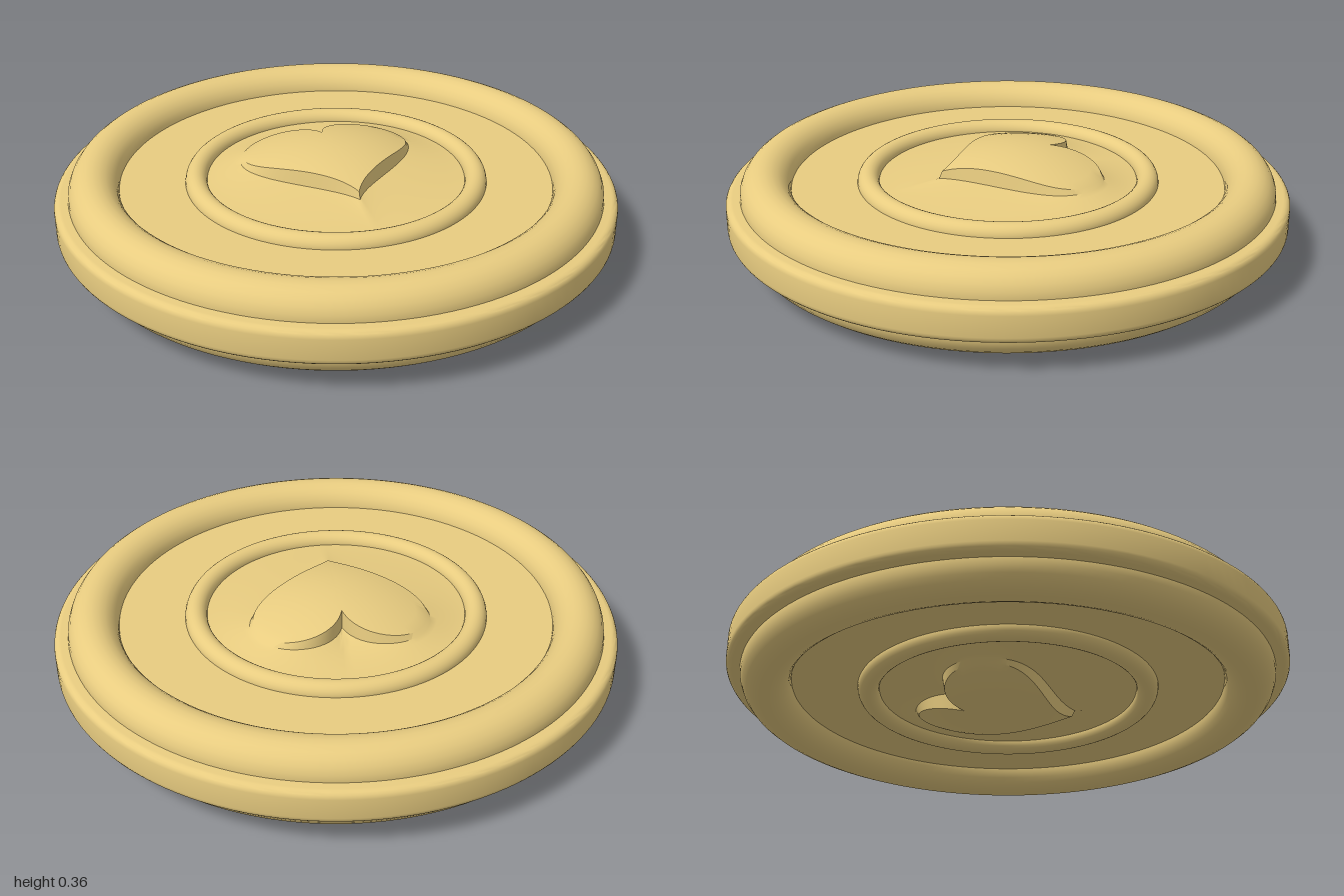
import * as THREE from 'three';
import { toCreasedNormals } from 'three/addons/utils/BufferGeometryUtils.js';

const MID = 0.178;    // half the total height; both faces mirror about it
const FLOOR = 0.072;  // recessed face above the middle plane
const gold = new THREE.MeshStandardMaterial({ color: 0xe8cc80 });

function mesh(name, geometry) {
  const m = new THREE.Mesh(geometry, gold);
  m.name = name;
  return m;
}

// Heart outline in (x, z), starting at the notch and running round by +x
function heartOutline() {
  const v = (x, z) => new THREE.Vector2(x, z);
  const path = new THREE.CurvePath();
  path.add(new THREE.CubicBezierCurve(v(0, -0.165), v(0.02, -0.24), v(0.08, -0.28), v(0.15, -0.28)));
  path.add(new THREE.CubicBezierCurve(v(0.15, -0.28), v(0.24, -0.28), v(0.305, -0.21), v(0.305, -0.12)));
  path.add(new THREE.CubicBezierCurve(v(0.305, -0.12), v(0.305, 0.02), v(0.06, 0.13), v(0, 0.25)));
  const half = path.getSpacedPoints(48);
  const mirrored = half.slice(1, -1).reverse().map(p => v(-p.x, p.y));
  return [...half, ...mirrored];
}

// Domed heart, steep wall and apron sloping down to the inner ring
function heartRelief() {
  const outline = heartOutline();
  const n = outline.length;
  const centre = new THREE.Vector2(0, -0.04);
  const crown = p => MID - 0.6 * p.distanceToSquared(centre);
  const rings = [];
  for (let k = 0; k <= 8; k++) {
    rings.push(outline.map(p => {
      const q = centre.clone().lerp(p, k / 8);
      return [q.x, crown(q), q.y];
    }));
  }
  const feet = outline.map(p => centre.clone().lerp(p, 1.04));
  for (let k = 0; k <= 6; k++) {
    const t = k / 6;
    rings.push(feet.map(p => {
      const edge = p.clone().sub(centre).setLength(0.48);
      const q = p.clone().lerp(edge, t);
      return [q.x, FLOOR + 0.03 * (1 - t) ** 1.3, q.y];
    }));
  }
  const index = [];
  for (let k = 0; k < rings.length - 1; k++) {
    for (let i = 0; i < n; i++) {
      const j = (i + 1) % n;
      const a = k * n + i, b = k * n + j, c = a + n, d = b + n;
      if (k > 0) index.push(a, b, d);
      index.push(a, d, c);
    }
  }
  const g = new THREE.BufferGeometry();
  g.setAttribute('position', new THREE.Float32BufferAttribute(rings.flat(2), 3));
  g.setIndex(index);
  return toCreasedNormals(g, 0.6);
}

function ring(name, radius, tube, y) {
  const g = new THREE.TorusGeometry(radius, tube, 24, 128);
  g.rotateX(Math.PI / 2);
  g.translate(0, y, 0);
  return mesh(name, g);
}

// One decorated face of the medallion
function createFace(name) {
  const face = new THREE.Group();
  face.name = name;
  const floor = new THREE.RingGeometry(0.47, 0.86, 128);
  floor.rotateX(-Math.PI / 2);
  floor.translate(0, FLOOR, 0);
  face.add(
    mesh('recessedFloor', floor),
    ring('outerRim', 0.86, 0.09, 0.062),
    ring('innerRing', 0.5, 0.039, FLOOR),
    mesh('heartRelief', heartRelief())
  );
  return face;
}

// Edge band with small rounded corners
function edgeBand() {
  const r = 0.025, h = 0.061;
  const points = [new THREE.Vector2(0.88, -h)];
  for (const side of [-1, 1]) {
    for (let i = 0; i <= 5; i++) {
      const a = (side < 0 ? i / 5 - 1 : i / 5) * Math.PI / 2;
      points.push(new THREE.Vector2(1 - r + r * Math.cos(a), side * (h - r) + r * Math.sin(a)));
    }
  }
  points.push(new THREE.Vector2(0.88, h));
  return mesh('edgeBand', toCreasedNormals(new THREE.LatheGeometry(points, 128), 0.5));
}

export function createModel() {
  const model = new THREE.Group();
  model.name = 'heartMedallion';
  const body = new THREE.Group();
  body.name = 'medallionBody';
  body.position.y = MID;
  const back = createFace('lowerFace');
  back.rotation.z = Math.PI; // the heart is symmetric in x, so turning it mirrors it
  body.add(edgeBand(), createFace('upperFace'), back);
  model.add(body);
  return model;
}
